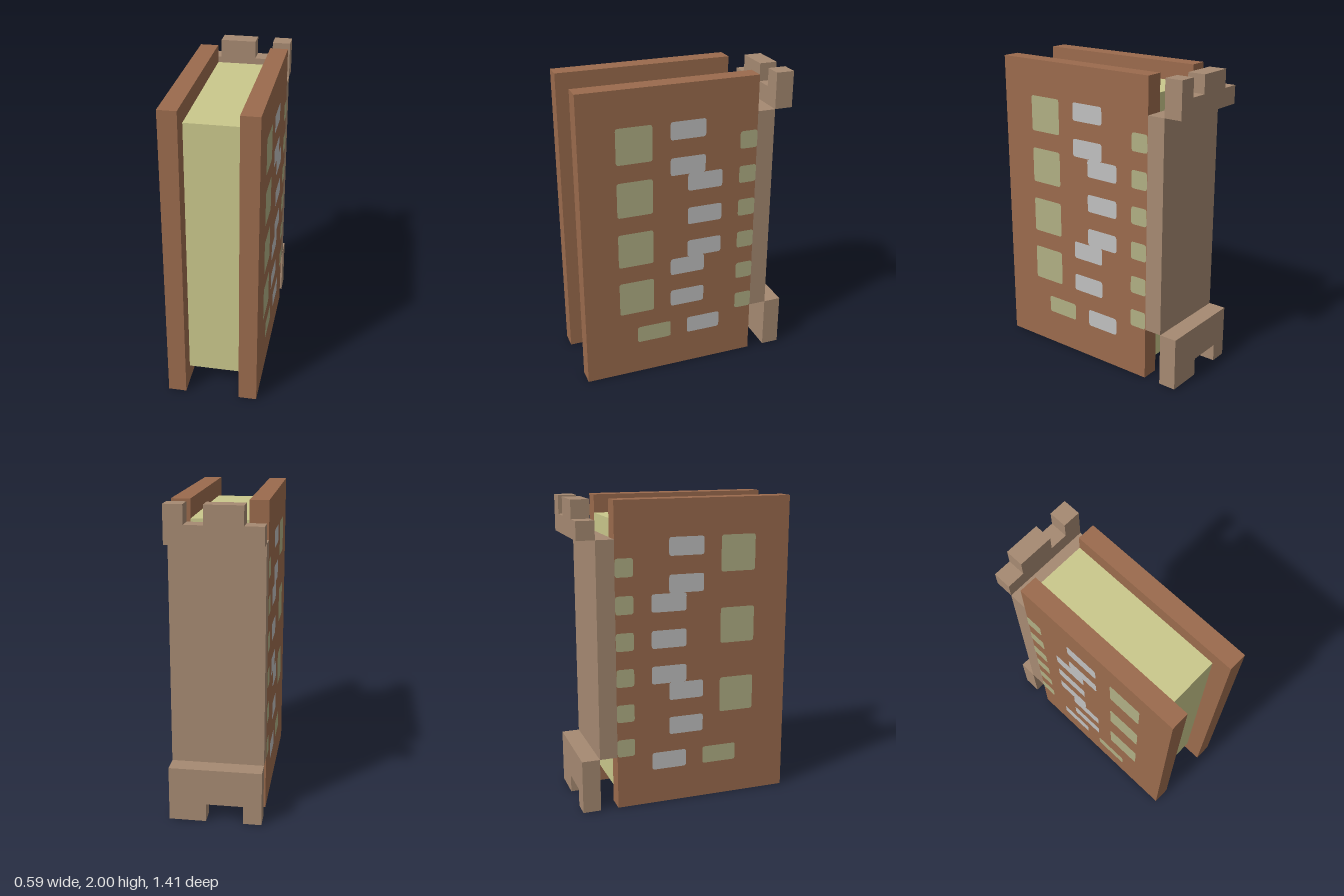
import * as THREE from 'three';

const U = 2 / 17; // one block of the blocky style

const material = (name, color) => {
  const m = new THREE.MeshStandardMaterial({ color });
  m.name = name;
  return m;
};

// Box from block coordinates: x and z measured from the centre, y from the ground
function block(name, mat, [x0, x1], [y0, y1], [z0, z1]) {
  const geo = new THREE.BoxGeometry((x1 - x0) * U, (y1 - y0) * U, (z1 - z0) * U);
  const mesh = new THREE.Mesh(geo, mat);
  mesh.position.set((x0 + x1) * U / 2, (y0 + y1) * U / 2, (z0 + z1) * U / 2);
  mesh.name = name;
  return mesh;
}

// Flat panel with small rounded corners
function panelGeometry(w, h, r = 0.018) {
  const x = w / 2, y = h / 2;
  const s = new THREE.Shape();
  s.moveTo(-x + r, -y);
  s.lineTo(x - r, -y).quadraticCurveTo(x, -y, x, -y + r);
  s.lineTo(x, y - r).quadraticCurveTo(x, y, x - r, y);
  s.lineTo(-x + r, y).quadraticCurveTo(-x, y, -x, y - r);
  s.lineTo(-x, -y + r).quadraticCurveTo(-x, -y, -x + r, -y);
  return new THREE.ShapeGeometry(s, 4);
}

// Extruded end cap of the spine, from an outline in block coordinates
function spineCap(name, mat, outline) {
  const shape = new THREE.Shape(outline.map(([x, y]) => new THREE.Vector2(x * U, y * U)));
  const mesh = new THREE.Mesh(new THREE.ExtrudeGeometry(shape, { depth: U, bevelEnabled: false }), mat);
  mesh.position.z = -6 * U;
  mesh.name = name;
  return mesh;
}

export function createModel() {
  const model = new THREE.Group();
  model.name = 'book';
  const leather = material('brown leather', 0x9b6b4d);
  const paper = material('pale paper', 0xcac88c);
  const binding = material('tan binding', 0xa68a72);
  const green = material('sage green', 0xb0af84);
  const silver = material('silver grey', 0xc0c0c0);

  // Covers, pages and spine
  model.add(
    block('leftCover', leather, [1.5, 2.5], [0, 17], [-4, 6]),
    block('rightCover', leather, [-2.5, -1.5], [0, 17], [-4, 6]),
    block('pages', paper, [-1.5, 1.5], [1, 16], [-4, 5]),
    block('spine', binding, [-2.5, 2.5], [3, 15], [-5, -4]),
  );

  // Notched caps standing behind the ends of the spine
  model.add(
    spineCap('topCap', binding, [
      [-2.5, 15], [2.5, 15], [2.5, 17], [1.5, 17], [1.5, 16],
      [0.5, 16], [0.5, 17], [-1.5, 17], [-1.5, 16], [-2.5, 16],
    ]),
    spineCap('bottomCap', binding, [
      [-2.5, 0], [-1.5, 0], [-1.5, 1], [0.5, 1], [0.5, 0], [2.5, 0], [2.5, 3], [-2.5, 3],
    ]),
  );

  // Painted panels on both covers
  for (const side of [1, -1]) {
    const group = new THREE.Group();
    group.name = side > 0 ? 'leftCoverPanels' : 'rightCoverPanels';
    group.rotation.y = side * Math.PI / 2;
    group.position.x = side * (2.5 * U + 0.003);
    const panel = (name, mat, z0, z1, y0, y1) => {
      const mesh = new THREE.Mesh(panelGeometry((z1 - z0) * U, (y1 - y0) * U), mat);
      mesh.position.set(-side * (z0 + z1) * U / 2, (y0 + y1) * U / 2, 0);
      mesh.name = name;
      group.add(mesh);
    };
    // large squares: four on one cover, three on the other
    for (const y of side > 0 ? [4, 7, 10, 13] : [5, 9, 13]) panel('greenSquare', green, 2, 4, y, y + 2);
    panel('greenBar', green, 1, 3, 2, 3);
    // small squares along the spine
    for (const y of [3, 5, 7, 9, 11, 13]) panel('edgeSquare', green, -4, -3, y, y + 1);
    // staggered column of bars
    for (const y of [4, 6, 12, 14]) panel('silverBar', silver, -1, 1, y, y + 1);
    for (const y of [2, 7, 9, 11]) panel('silverBar', silver, -2, 0, y, y + 1);
    model.add(group);
  }
  return model;
}
